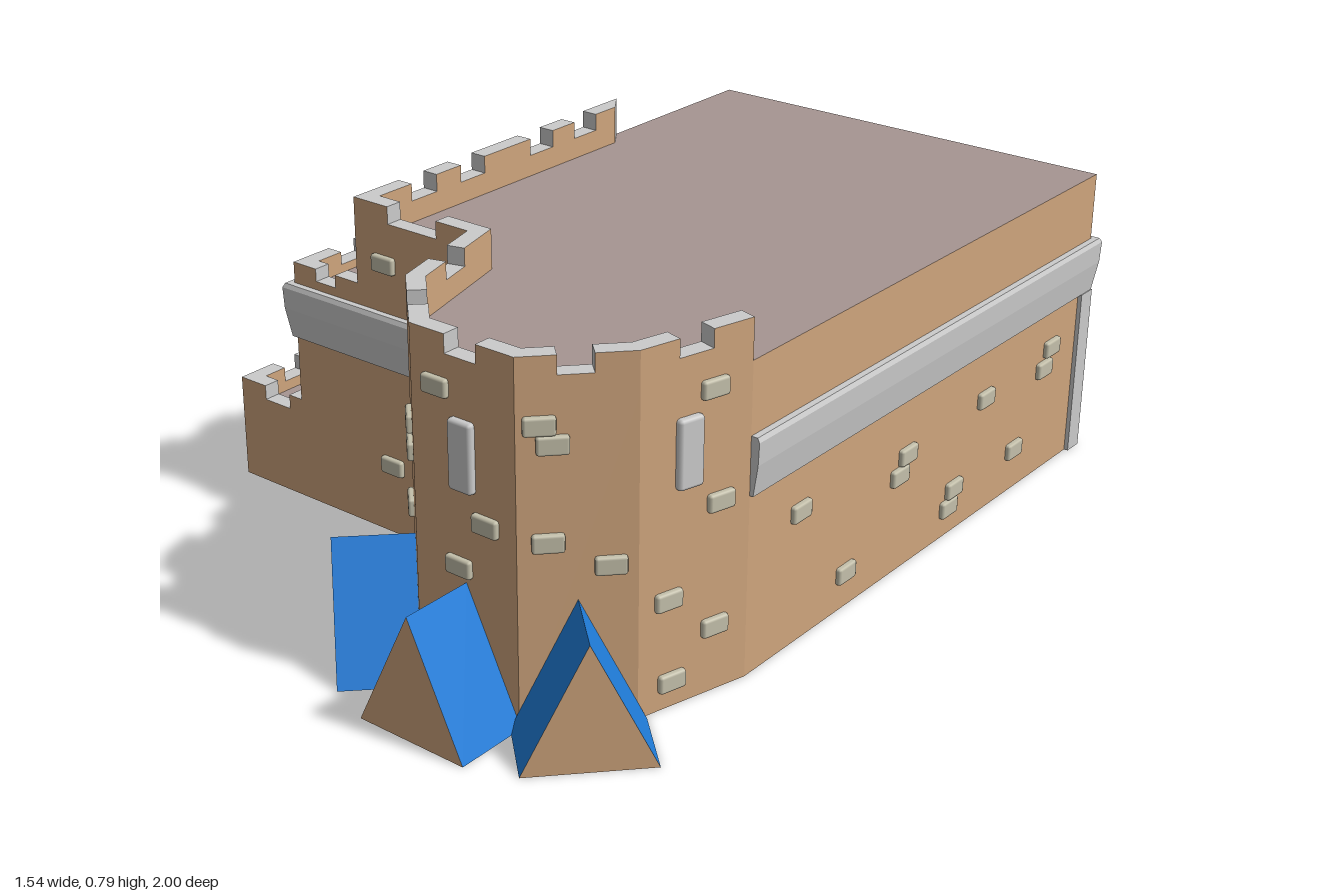
import * as THREE from 'three';
import { RoundedBoxGeometry } from 'three/addons/geometries/RoundedBoxGeometry.js';

const mat = (name, color) => new THREE.MeshStandardMaterial({ name, color, side: THREE.DoubleSide });

export function createModel() {
  const sand = mat('sandstone', 0xcfa57d);
  const grey = mat('pale stone trim', 0xcbcbcb);
  const roofMat = mat('mauve roof', 0xa69592);
  const brickMat = mat('brick', 0xc4c0ab);
  const blue = mat('blue canvas', 0x207cd8);
  const root = new THREE.Group();

  const add = (name, geometry, material, parent = root) => {
    const m = new THREE.Mesh(geometry, material);
    m.name = name;
    parent.add(m);
    return m;
  };

  // Frame of a wall from a to b ([x, z]): local x runs along it, local z points outward
  const frame = (a, b) => {
    const dx = b[0] - a[0], dz = b[1] - a[1];
    return { len: Math.hypot(dx, dz), ry: Math.atan2(-dz, dx) };
  };
  const place = (obj, a, b, s, y) => {
    const { ry } = frame(a, b);
    obj.rotation.y = ry;
    obj.position.set(a[0] + Math.cos(ry) * s, y, a[1] - Math.sin(ry) * s);
    return obj;
  };

  // Runs a piece along each segment of a path and mitres its corners
  const run = (name, path, material, build, startMitre = 0) => {
    const group = new THREE.Group();
    group.name = name;
    const frames = path.slice(1).map((p, i) => frame(path[i], p));
    const mitre = (i) => {
      if (i === 0) return startMitre;
      if (i >= frames.length) return 0;
      const turn = frames[i].ry - frames[i - 1].ry;
      return Math.tan(Math.atan2(Math.sin(turn), Math.cos(turn)) / 2);
    };
    frames.forEach(({ len }, i) => {
      const g = build(len, i);
      const p = g.attributes.position;
      for (let k = 0; k < p.count; k++) {
        const x = p.getX(k), z = p.getZ(k);
        if (x < 1e-4) p.setX(k, x - z * mitre(i));
        else if (x > len - 1e-4) p.setX(k, x + z * mitre(i + 1));
      }
      g.computeVertexNormals();
      place(add(name + 'Part', g, material, group), path[i], path[i + 1], 0, 0);
    });
    root.add(group);
  };

  const wall = (name, path, y0, y1) => run(name, path, sand, (len) =>
    new THREE.PlaneGeometry(len, y1 - y0).translate(len / 2, (y0 + y1) / 2, 0));

  // Battlement: sandstone faces, pale tops and notch sides
  const battlement = (name, path, y0, y1, notchY, notches, startMitre) =>
    run(name, path, [sand, grey], (len, i) => {
      const s = new THREE.Shape();
      s.moveTo(0, y0);
      s.lineTo(len, y0);
      s.lineTo(len, y1);
      [...notches[i]].reverse().forEach(([from, to]) => {
        s.lineTo(to, y1);
        s.lineTo(to, notchY);
        s.lineTo(from, notchY);
        s.lineTo(from, y1);
      });
      s.lineTo(0, y1);
      const t = 0.04;
      return new THREE.ExtrudeGeometry(s, { depth: t, bevelEnabled: false }).translate(0, 0, -t);
    }, startMitre);

  const slab = (name, points, y, material) => {
    const s = new THREE.Shape(points.map(([x, z]) => new THREE.Vector2(x, -z)));
    add(name, new THREE.ShapeGeometry(s).rotateX(-Math.PI / 2), material).position.y = y;
  };
  const every = (n, first, step, w) => Array.from({ length: n }, (_, i) => [first + i * step, first + i * step + w]);

  // Plan corners
  const bay = [[-0.04, 0.4], [0.03, 0.66], [0.2, 0.83], [0.46, 0.83], [0.62, 0.66], [0.69, 0.4]];
  const FR = [0.69, 0.4], BR = [0.69, -0.98], BL = [-0.57, -0.98], FL = [-0.57, 0.4];
  const UB = [-0.37, -0.98], UF = [-0.37, 0.4], J = [-0.57, -0.51];
  const WB = [-0.77, -0.51], WF = [-0.77, 0.4];

  // Walls
  wall('mainWall', [FR, BR, BL, J], 0, 0.54);
  wall('wallAboveWing', [J, FL], 0.19, 0.54);
  wall('frontWall', [FL, bay[0]], 0, 0.54);
  wall('upperWall', [FR, BR, UB, UF, bay[0]], 0.54, 0.7);
  wall('bayWall', bay, 0, 0.7);
  wall('wingWall', [J, WB, WF, FL], 0, 0.19);

  // Roofs and the inner floor
  slab('upperRoof', [BR, UB, UF, ...bay], 0.7, roofMat);
  slab('stepRoof', [UB, BL, FL, UF], 0.54, roofMat);
  slab('wingRoof', [J, WB, WF, FL], 0.19, roofMat);
  slab('innerFloor', [BR, BL, FL, FR], 0.41, grey);

  // Battlements
  const bayNotches = bay.slice(1).map((p, i) => {
    const { len } = frame(bay[i], p);
    return [[len * 0.34, len * 0.64]];
  });
  battlement('upperBattlement', [[-0.37, -0.51], UF, ...bay], 0.7, 0.79, 0.75,
    [[[0.13, 0.21], [0.29, 0.37], [0.53, 0.61], [0.69, 0.77]], [[0.1, 0.24]], ...bayNotches], 1.4);
  battlement('stepBattlement', [UB, BL, FL, UF], 0.54, 0.59, 0.56,
    [[[0.07, 0.13]], every(7, 0.11, 0.18, 0.08), [[0.07, 0.13]]]);
  battlement('wingBattlement', [J, WB, WF, FL], 0.19, 0.25, 0.215,
    [[[0.04, 0.12]], every(5, 0.1, 0.16, 0.07), [[0.08, 0.16]]]);

  // Cornice and back corner posts
  const profile = [[0, 0.41], [0.008, 0.41], [0.018, 0.48], [0.02, 0.53], [0.015, 0.54], [0, 0.54]];
  run('cornice', [FR, BR, BL, FL, bay[0]], grey, (len) =>
    new THREE.ExtrudeGeometry(new THREE.Shape(profile.map(([o, y]) => new THREE.Vector2(-o, y))),
      { depth: len, bevelEnabled: false }).rotateY(Math.PI / 2));
  [0.675, -0.555].forEach((x) =>
    add('cornerPost', new THREE.BoxGeometry(0.05, 0.41, 0.05), grey).position.set(x, 0.205, -0.965));

  // Bricks: [distance along the wall, height]
  const brickGeo = new RoundedBoxGeometry(0.064, 0.04, 0.024, 1, 0.006);
  const bricks = (a, b, list) => list.forEach(([s, y]) => place(add('brick', brickGeo, brickMat), a, b, s, y));
  bricks(FR, BR, [[0.18, 0.305], [0.59, 0.275], [0.56, 0.235], [0.92, 0.29], [1.22, 0.315], [1.19, 0.27],
    [0.36, 0.085], [0.78, 0.07], [0.8, 0.11], [1.07, 0.105]]);
  bricks(BR, BL, [[0.3, 0.08], [0.53, 0.28], [0.5, 0.235], [0.85, 0.3], [0.75, 0.115], [0.73, 0.075],
    [1.02, 0.11], [1.17, 0.3]]);
  bricks(FL, bay[0], [[0.45, 0.365], [0.29, 0.17], [0.45, 0.085]]);
  bricks(UF, bay[0], [[0.085, 0.655]]);
  bricks(WB, WF, [[0.15, 0.12], [0.55, 0.1]]);
  bricks(bay[0], bay[1], [[0.07, 0.36], [0.19, 0.2]]);
  bricks(bay[1], bay[2], [[0.145, 0.545], [0.175, 0.5], [0.045, 0.31]]);
  bricks(bay[2], bay[3], [[0.065, 0.68], [0.185, 0.42], [0.115, 0.31]]);
  bricks(bay[3], bay[4], [[0.045, 0.65], [0.07, 0.61], [0.06, 0.405], [0.18, 0.35]]);
  bricks(bay[4], bay[5], [[0.07, 0.245], [0.08, 0.06], [0.185, 0.15], [0.195, 0.425], [0.175, 0.67]]);

  // Tall bay windows
  [[0, 0.155], [2, 0.13], [4, 0.115]].forEach(([i, s]) => {
    const g = place(new THREE.Group(), bay[i], bay[i + 1], s, 0.552);
    g.name = 'bayWindow';
    add('windowFrame', new RoundedBoxGeometry(0.06, 0.15, 0.03, 1, 0.008), grey, g);
    root.add(g);
  });

  // Paned window on the left wall, behind the wing
  const sideWindow = place(new THREE.Group(), BL, J, 0.26, 0.2);
  sideWindow.name = 'sideWindow';
  [-0.09, 0, 0.09].forEach((x) =>
    add('upright', new THREE.BoxGeometry(0.016, 0.15, 0.02), grey, sideWindow).position.x = x);
  [-0.067, 0, 0.067].forEach((y) =>
    add('crossbar', new THREE.BoxGeometry(0.19, 0.016, 0.018), grey, sideWindow).position.y = y);
  root.add(sideWindow);

  // Tents against the three outer faces of the bay
  const w = 0.135, h = 0.278, depth = 0.17;
  const endGeo = new THREE.ShapeGeometry(new THREE.Shape([
    new THREE.Vector2(-w, 0), new THREE.Vector2(w, 0), new THREE.Vector2(0, h)]));
  const sideLen = Math.hypot(w, h);
  [1, 2, 3].forEach((i) => {
    const { len } = frame(bay[i], bay[i + 1]);
    const tent = place(new THREE.Group(), bay[i], bay[i + 1], len / 2, 0);
    tent.name = 'tent';
    add('tentFront', endGeo, sand, tent).position.z = depth;
    add('tentBack', endGeo, sand, tent).position.z = 0.004;
    [1, -1].forEach((k) => {
      const side = new THREE.PlaneGeometry(depth, sideLen).rotateY(k * Math.PI / 2)
        .rotateZ(k * Math.atan2(w, h)).translate(k * w / 2, h / 2, depth / 2);
      add('tentSide', side, blue, tent);
    });
    root.add(tent);
  });

  return root;
}
